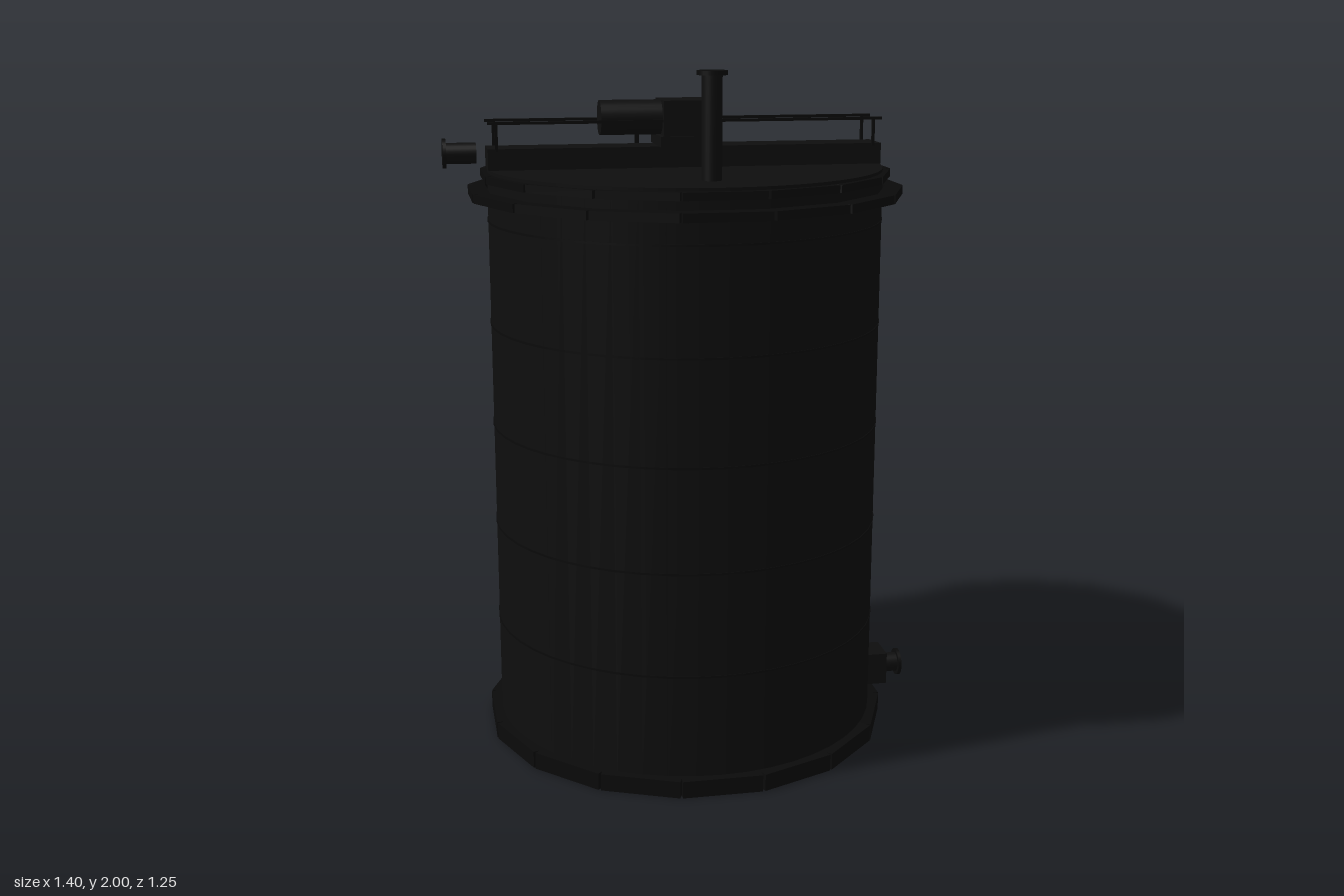
import * as THREE from 'three';

export function createModel() {
  const model = new THREE.Group();
  model.name = 'storageTank';
  const steel = new THREE.MeshStandardMaterial({ color: 0x0e0e0e });
  steel.name = 'black steel';
  const trim = new THREE.MeshStandardMaterial({ color: 0x0a0a0a });
  trim.name = 'dark trim';

  const add = (name, geo, mat, x, y, z, parent = model) => {
    const m = new THREE.Mesh(geo, mat);
    m.name = name;
    m.position.set(x, y, z);
    parent.add(m);
    return m;
  };
  const box = (name, w, h, d, mat, x, y, z, parent) =>
    add(name, new THREE.BoxGeometry(w, h, d), mat, x, y, z, parent);
  const tube = (name, r, len, mat, x, y, z, axis = 'y', parent = model) => {
    const m = add(name, new THREE.CylinderGeometry(r, r, len, 24), mat, x, y, z, parent);
    if (axis === 'x') m.rotation.z = Math.PI / 2;
    return m;
  };

  // Ring of sixteen straight segments with small notches at the joints
  const ring = (name, outer, depth, height, y, mat) => {
    const g = new THREE.Group();
    g.name = name;
    const len = 2 * outer * Math.tan(Math.PI / 16) - 0.008;
    for (let i = 0; i < 16; i++) {
      const a = (i / 16) * Math.PI * 2, r = outer - depth / 2;
      const s = box(name + 'Segment', len, height, depth, mat, Math.sin(a) * r, y, Math.cos(a) * r, g);
      s.rotation.y = a;
    }
    model.add(g);
  };

  // Shell with closed roof and floor, and thin seams between the courses
  add('shell', new THREE.CylinderGeometry(0.575, 0.575, 1.68, 48), steel, 0, 0.87, 0);
  for (let i = 0; i < 5; i++) {
    add('shellSeam', new THREE.CylinderGeometry(0.577, 0.577, 0.006, 48), trim, 0, 0.35 + i * 0.3025, 0);
  }

  // Footing, stiffener and rim
  ring('footing', 0.6, 0.1, 0.05, 0.025, trim);
  ring('stiffenerRing', 0.625, 0.05, 0.025, 1.64, trim);
  ring('rimRing', 0.588, 0.03, 0.022, 1.69, trim);

  // Bridge across the roof with handrails
  box('bridgeBeam', 1.15, 0.06, 0.12, steel, 0, 1.74, 0);
  for (const side of [-1, 1]) {
    box('handrail', 1.15, 0.008, 0.008, trim, 0, 1.842, side * 0.06);
    for (const end of [-1, 1]) {
      box('railPost', 0.008, 0.08, 0.008, trim, end * 0.55, 1.803, side * 0.06);
    }
  }

  // Mixer drive
  box('drivePlate', 0.17, 0.03, 0.17, steel, 0, 1.785, 0);
  box('gearbox', 0.146, 0.1, 0.146, steel, 0, 1.85, 0);
  tube('motor', 0.05, 0.18, steel, -0.16, 1.85, 0, 'x');

  // Vent stack
  tube('ventPipe', 0.028, 0.28, steel, 0, 1.85, 0.4);
  tube('ventFlange', 0.042, 0.012, trim, 0, 1.994, 0.4);

  // Upper inlet and lower outlet
  tube('inletPipe', 0.03, 0.09, steel, -0.65, 1.755, 0, 'x');
  tube('inletFlange', 0.042, 0.01, trim, -0.695, 1.755, 0, 'x');
  box('outletBox', 0.08, 0.1, 0.1, steel, 0.607, 0.1, 0);
  tube('outletPipe', 0.03, 0.05, steel, 0.668, 0.1, 0, 'x');
  tube('outletFlange', 0.042, 0.01, trim, 0.695, 0.1, 0, 'x');

  // Rear ladder
  const ladder = new THREE.Group();
  ladder.name = 'ladder';
  model.add(ladder);
  for (const side of [-1, 1]) {
    box('ladderStile', 0.012, 1.72, 0.016, trim, side * 0.05, 0.91, -0.592, ladder);
  }
  for (let i = 0; i < 29; i++) {
    box('ladderRung', 0.1, 0.008, 0.008, trim, 0, 0.1 + i * 0.056, -0.592, ladder);
  }
  return model;
}
